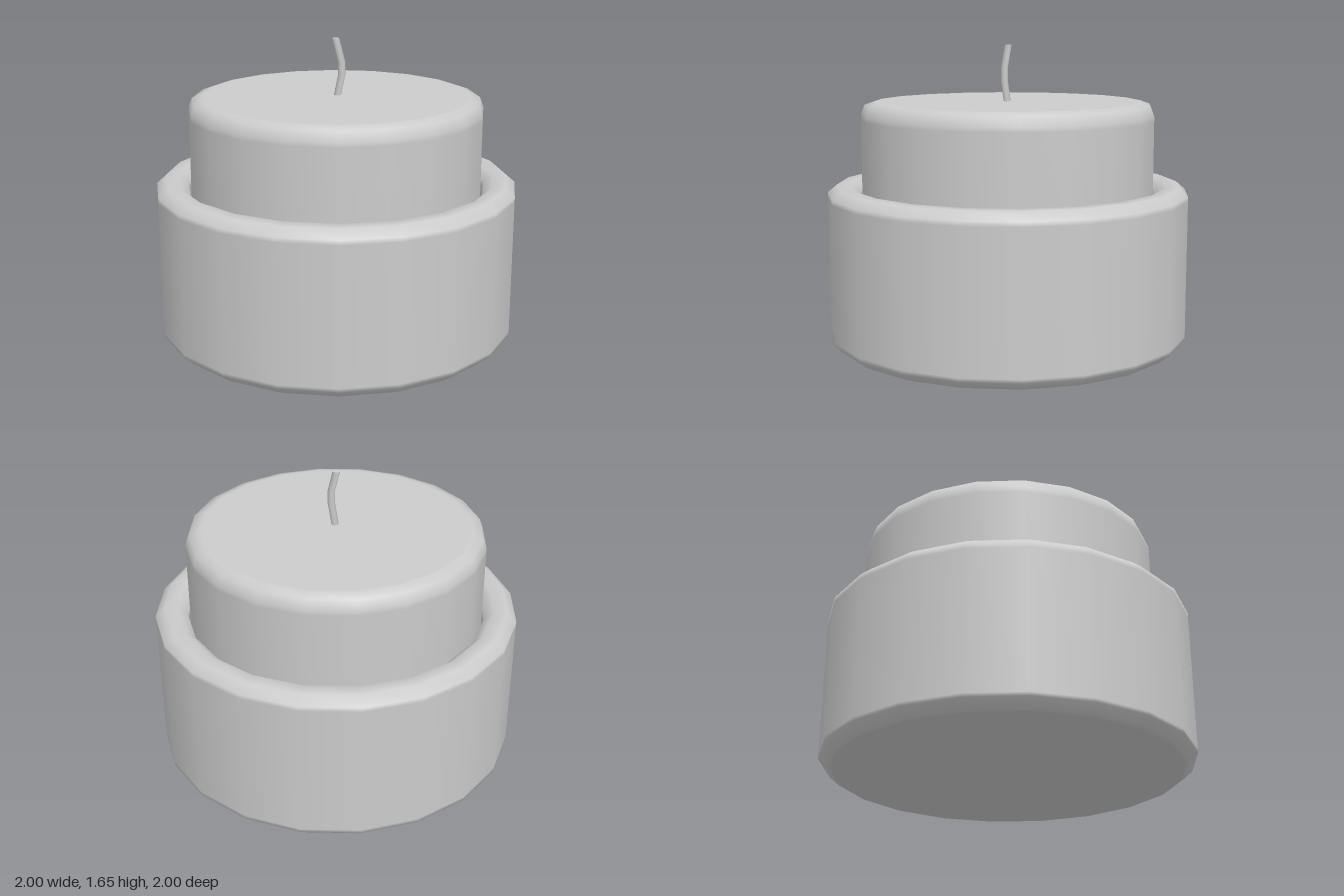
import * as THREE from 'three';

const SIDES = 20;

function turned(name, profile, material) {
  const points = profile.map(([r, y]) => new THREE.Vector2(r, y));
  const mesh = new THREE.Mesh(new THREE.LatheGeometry(points, SIDES), material);
  mesh.name = name;
  return mesh;
}

export function createModel() {
  const group = new THREE.Group();
  group.name = 'candle';
  const material = new THREE.MeshStandardMaterial({ color: 0xcccccc });

  // Open cup with bevelled base and rounded rim
  group.add(turned('holder', [
    [0, 0], [0.93, 0], [0.95, 0.005], [1, 0.05], [1, 0.07], [1, 0.82], [1, 0.845],
    [0.95, 0.888], [0.875, 0.888], [0.825, 0.845], [0.82, 0.82],
    [0.82, 0.1], [0.8, 0.08], [0, 0.08],
  ], material));

  // Wax body standing in the cup
  group.add(turned('wax', [
    [0, 0.09], [0.79, 0.09], [0.81, 0.11], [0.81, 1.25], [0.81, 1.275],
    [0.79, 1.328], [0.74, 1.345], [0.72, 1.345], [0, 1.345],
  ], material));

  // Bent wick: each ring of a cylinder is moved to its place on the bend
  const rings = [[0.005, 1.33], [0.037, 1.46], [0.037, 1.53], [-0.002, 1.655]];
  const geometry = new THREE.CylinderGeometry(0.02, 0.02, 3, 8, 3);
  const position = geometry.attributes.position;
  for (let i = 0; i < position.count; i++) {
    const [x, y] = rings[Math.round(position.getY(i) + 1.5)];
    position.setX(i, position.getX(i) + x);
    position.setY(i, y);
  }
  const wick = new THREE.Mesh(geometry, material);
  wick.name = 'wick';
  group.add(wick);

  return group;
}
